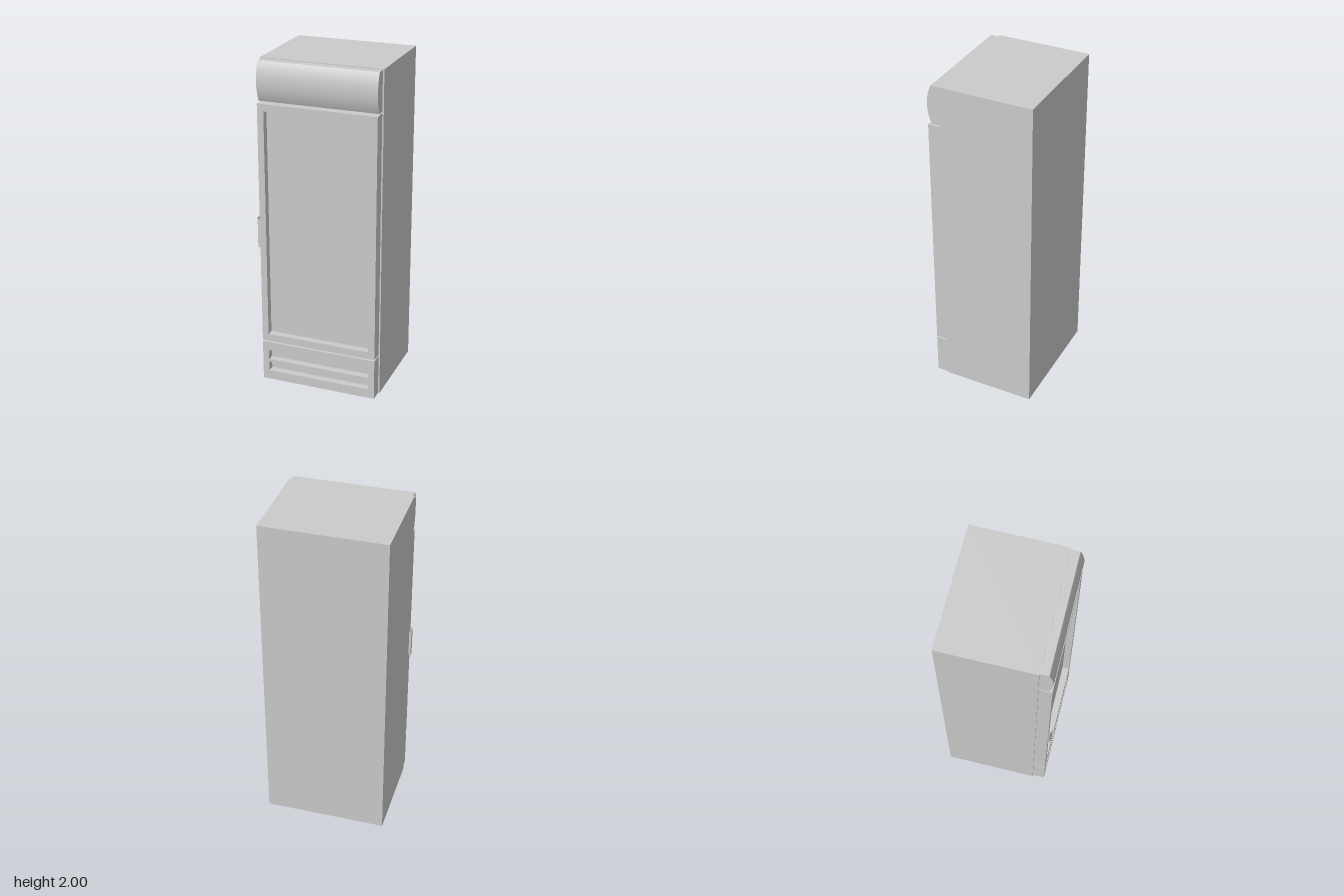
import * as THREE from 'three';
import { toCreasedNormals } from 'three/addons/utils/BufferGeometryUtils.js';

const CX = 0.0025;      // cabinet centre, offset by the protruding handle
const BACK = 0.234;     // plane where the front panels meet the cabinet
const FRONT = 0.309;    // outer face of the front panels
const RECESS = 0.042;   // depth of the openings
const W = 0.718;        // width of the front panels
const OPEN_W = 0.64;    // width of the openings

export function createModel() {
  const group = new THREE.Group();
  const mat = new THREE.MeshStandardMaterial({ color: 0xcccccc });
  const thinMat = new THREE.MeshStandardMaterial({ color: 0xcccccc, side: THREE.DoubleSide });

  const add = (name, geometry, material = mat) => {
    const mesh = new THREE.Mesh(geometry, material);
    mesh.name = name;
    group.add(mesh);
    return mesh;
  };

  const box = (name, w, y0, y1, z0, z1) =>
    add(name, new THREE.BoxGeometry(w, y1 - y0, z1 - z0))
      .position.set(CX, (y0 + y1) / 2, (z0 + z1) / 2);

  const rect = (path, w, y0, y1) => {
    path.moveTo(-w / 2, y0);
    path.lineTo(w / 2, y0);
    path.lineTo(w / 2, y1);
    path.lineTo(-w / 2, y1);
    path.closePath();
    return path;
  };

  // Panel with rectangular openings, in front of a solid backing
  const recessedPanel = (name, backName, y0, y1, openings) => {
    const shape = rect(new THREE.Shape(), W, y0, y1);
    openings.forEach(([a, b]) => shape.holes.push(rect(new THREE.Path(), OPEN_W, a, b)));
    const frame = new THREE.ExtrudeGeometry(shape, { depth: RECESS, bevelEnabled: false });
    add(name, frame).position.set(CX, 0, FRONT - RECESS);
    box(backName, W, y0, y1, BACK, FRONT - RECESS);
  };

  // Cabinet
  box('cabinet', 0.735, 0, 2, -0.329, BACK);

  // Door with its sunken pane, and the base grille with two slots
  recessedPanel('doorFrame', 'doorPane', 0.262, 1.752, [[0.307, 1.709]]);
  recessedPanel('baseGrille', 'baseGrilleBack', 0, 0.252, [[0.058, 0.117], [0.135, 0.196]]);

  // Bowed header panel, profile drawn as (z, y) and swept across the width
  const y0 = 1.762, y1 = 1.995, edge = 0.285, bulge = 0.026;
  const half = (y1 - y0) / 2;
  const radius = (half * half + bulge * bulge) / (2 * bulge);
  const angle = Math.asin(half / radius);
  const profile = new THREE.Shape();
  profile.moveTo(BACK, y0);
  profile.lineTo(edge, y0);
  profile.absarc(edge + bulge - radius, (y0 + y1) / 2, radius, -angle, angle, false);
  profile.lineTo(BACK, y1);
  profile.closePath();
  const header = new THREE.ExtrudeGeometry(profile, { depth: W, bevelEnabled: false, curveSegments: 20 });
  header.rotateY(-Math.PI / 2);
  header.translate(CX + W / 2, 0, 0);
  add('header', toCreasedNormals(header, 0.35));

  // Door handle: a thin strip hooked around the door edge, drawn as (x, -z)
  const hook = new THREE.Path();
  hook.moveTo(-0.356, -0.277);
  hook.lineTo(-0.370, -0.277);
  hook.lineTo(-0.370, -0.302);
  hook.bezierCurveTo(-0.370, -0.318, -0.362, -0.327, -0.345, -0.327);
  hook.lineTo(-0.334, -0.328);
  const points = hook.getPoints(10);
  const height = 0.18;
  const strip = new THREE.PlaneGeometry(1, height, points.length - 1, 1);
  const pos = strip.attributes.position;
  for (let i = 0; i < pos.count; i++) {
    const p = points[i % points.length];
    pos.setXYZ(i, p.x, pos.getY(i) + 0.97, -p.y);
  }
  add('handle', toCreasedNormals(strip, 0.6), thinMat);

  return group;
}
